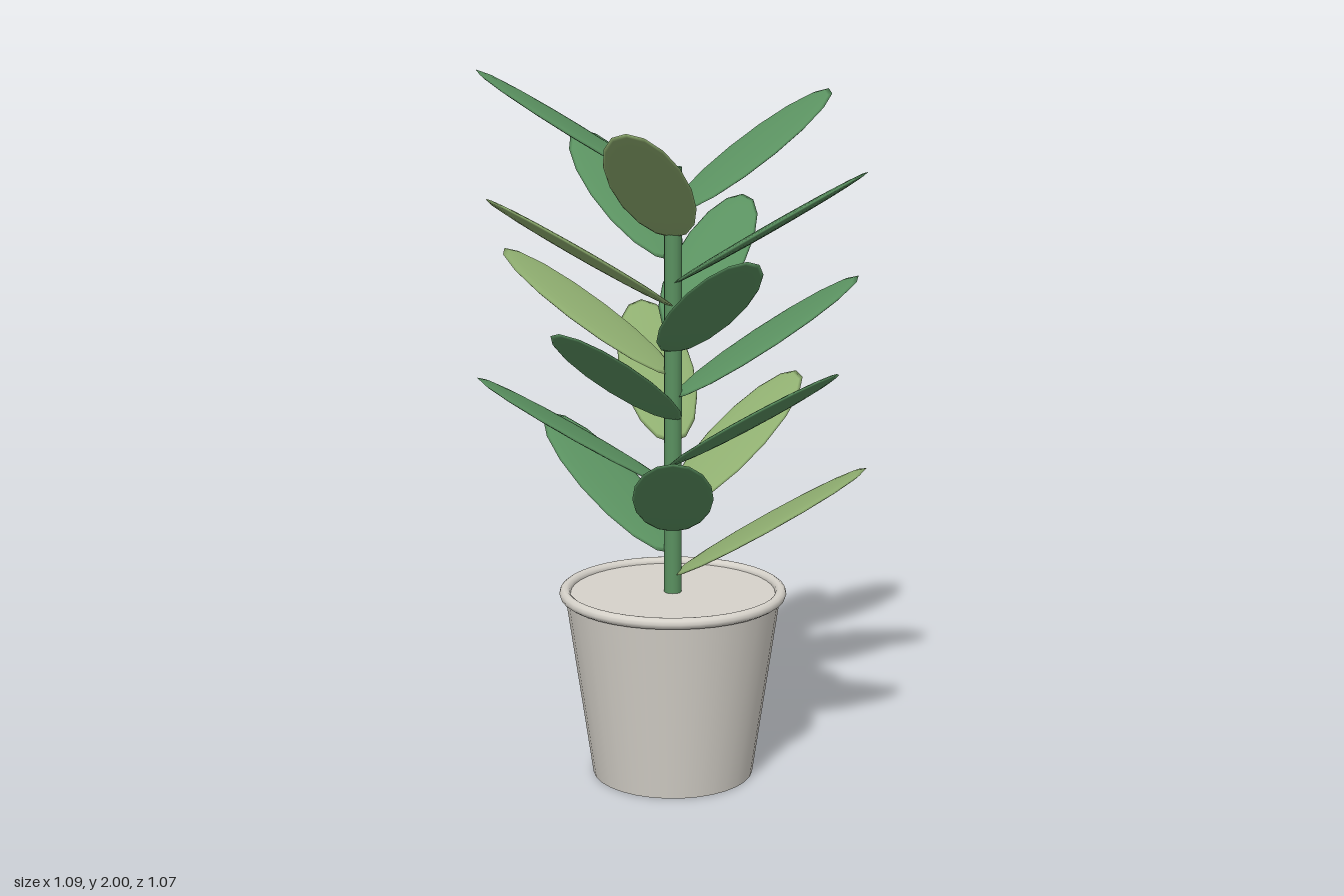
import * as THREE from 'three';

const LEAF_COUNT = 18;
const GOLDEN_ANGLE = Math.PI * (3 - Math.sqrt(5));
const LEAF_TILT = 0.538;

export function createModel() {
  const model = new THREE.Group();
  model.name = 'pottedPlant';

  const material = (name, color) => {
    const m = new THREE.MeshStandardMaterial({ color });
    m.name = name;
    return m;
  };
  const potGrey = material('potGrey', 0xd6d2ca);
  const leafGreen = material('leafGreen', 0x5a9160);
  const paleGreen = material('paleGreen', 0x8fae70);

  // everything shares the stem axis, slightly off the middle of the foliage
  const plant = new THREE.Group();
  plant.name = 'plant';
  plant.position.set(-0.002, 0, -0.011);
  model.add(plant);

  const add = (name, geometry, mat, y) => {
    const mesh = new THREE.Mesh(geometry, mat);
    mesh.name = name;
    mesh.position.y = y;
    plant.add(mesh);
    return mesh;
  };

  // tapered pot, closed at the top, with a rolled rim
  add('pot', new THREE.CylinderGeometry(0.307, 0.23, 0.535, 32), potGrey, 0.2675);
  const rim = new THREE.TorusGeometry(0.307, 0.016, 10, 40).rotateX(Math.PI / 2);
  add('potRim', rim, potGrey, 0.535);

  // straight stem
  add('stem', new THREE.CylinderGeometry(0.025, 0.025, 1.24, 12), leafGreen, 1.12);

  // flat oval leaf growing outwards and upwards from the stem
  const leafGeometry = new THREE.SphereGeometry(1, 16, 10)
    .scale(0.316, 0.0115, 0.1095)
    .rotateZ(LEAF_TILT)
    .translate(0.272, 0, 0);

  // leaves spiral up the stem, every third one pale
  for (let i = 0; i < LEAF_COUNT; i++) {
    const leaf = add(`leaf${i + 1}`, leafGeometry, i % 3 === 0 ? paleGreen : leafGreen, 0.745 + i * 0.0642);
    leaf.rotation.y = i * GOLDEN_ANGLE;
  }

  return model;
}
